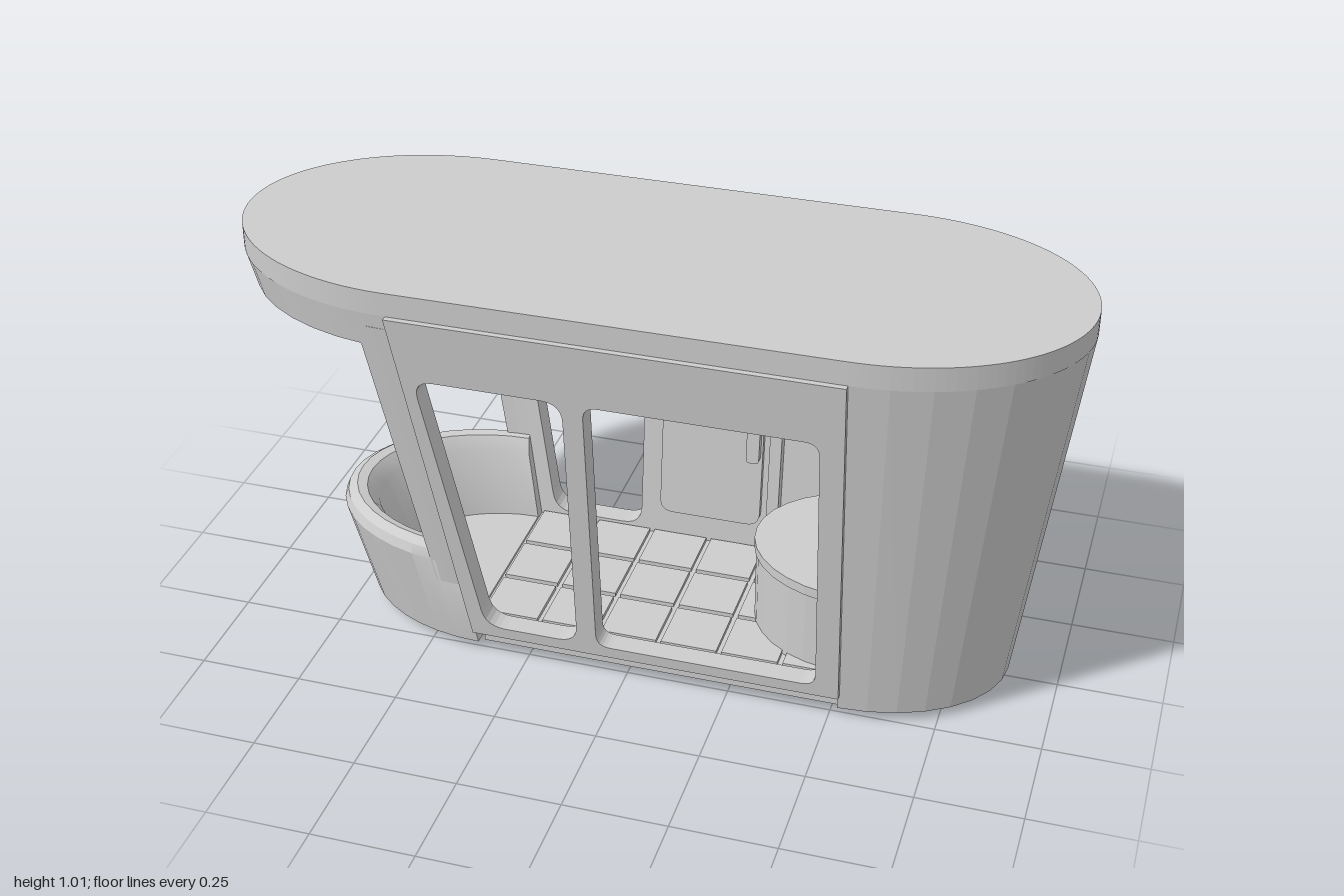
import * as THREE from 'three';
import { toCreasedNormals } from 'three/addons/utils/BufferGeometryUtils.js';

// The cabin widens upwards: t runs from 0 at the hull bottom to 1 under the roof
const BOTTOM = 0.025, TOP = 0.955;
const tOf = (y) => (y - BOTTOM) / (TOP - BOTTOM);
const endLength = (y) => 0.36 + 0.12 * tOf(y);
const halfWidth = (y) => 0.268 + 0.092 * tOf(y);
const openEndX = (y) => -0.375 - 0.145 * tOf(y);
const WALL = 0.055, PROUD = 0.015;

// Sweeps a closed profile of [scale, y] (counter-clockwise) round a half-elliptic cabin end
function endSweep(dir, profile, from = -90, to = 90, segments = 16, crease = 0) {
  const pos = [];
  const point = (i, j) => {
    const [s, y] = profile[j % profile.length];
    const th = THREE.MathUtils.degToRad(from + (to - from) * i / segments);
    const c = dir > 0 ? 0.52 : openEndX(y);
    return [c + dir * s * endLength(y) * Math.cos(th), y, dir * s * halfWidth(y) * Math.sin(th)];
  };
  const tri = (a, b, c) => pos.push(...a, ...b, ...c);
  for (let i = 0; i < segments; i++) {
    for (let j = 0; j < profile.length; j++) {
      tri(point(i, j), point(i, j + 1), point(i + 1, j + 1));
      tri(point(i, j), point(i + 1, j + 1), point(i + 1, j));
    }
  }
  for (let j = 1; j < profile.length - 1; j++) {
    tri(point(0, 0), point(0, j + 1), point(0, j));
    tri(point(segments, 0), point(segments, j), point(segments, j + 1));
  }
  const g = new THREE.BufferGeometry();
  g.setAttribute('position', new THREE.Float32BufferAttribute(pos, 3));
  g.computeVertexNormals();
  return crease ? toCreasedNormals(g, crease) : g;
}

// Polygon with rounded corners
function roundedShape(points, radius) {
  const shape = new THREE.Shape();
  const v = points.map((p) => new THREE.Vector2(...p));
  const n = v.length;
  v.forEach((p, i) => {
    const toward = (q) => p.clone().add(q.clone().sub(p).setLength(radius));
    const a = toward(v[(i + n - 1) % n]), b = toward(v[(i + 1) % n]);
    if (i === 0) shape.moveTo(a.x, a.y); else shape.lineTo(a.x, a.y);
    shape.quadraticCurveTo(p.x, p.y, b.x, b.y);
  });
  shape.closePath();
  return shape;
}

const rect = (x0, y0, x1, y1) => [[x0, y0], [x1, y0], [x1, y1], [x0, y1]];

// Plate leaning with the side of the cabin, inset from the outer wall surface
function leaningPlate(shape, side, depth, inset) {
  const g = new THREE.ExtrudeGeometry(shape, { depth, bevelEnabled: false, curveSegments: 6 });
  const p = g.attributes.position;
  for (let i = 0; i < p.count; i++) {
    const outer = halfWidth(p.getY(i)) + PROUD;
    const start = side > 0 ? outer - inset - depth : -outer + inset;
    p.setZ(i, p.getZ(i) + start);
  }
  g.computeVertexNormals();
  return g;
}

export function createModel() {
  const model = new THREE.Group();
  model.name = 'cabin';
  const grey = new THREE.MeshStandardMaterial({ color: 0xcccccc });
  grey.name = 'plainGrey';

  const add = (name, geometry, parent = model) => {
    const mesh = new THREE.Mesh(geometry, grey);
    mesh.name = name;
    parent.add(mesh);
    return mesh;
  };
  const box = (name, x0, x1, y0, y1, z0, z1, parent) => {
    const g = new THREE.BoxGeometry(x1 - x0, y1 - y0, z1 - z0);
    g.translate((x0 + x1) / 2, (y0 + y1) / 2, (z0 + z1) / 2);
    return add(name, g, parent);
  };
  const group = (name) => {
    const g = new THREE.Group();
    g.name = name;
    model.add(g);
    return g;
  };

  // Roof slab with elliptic ends
  const roof = new THREE.Shape();
  roof.moveTo(-0.52, -0.36);
  roof.lineTo(0.52, -0.36);
  roof.absellipse(0.52, 0, 0.48, 0.36, -Math.PI / 2, Math.PI / 2);
  roof.lineTo(-0.52, 0.36);
  roof.absellipse(-0.52, 0, 0.48, 0.36, Math.PI / 2, Math.PI * 1.5);
  const roofGeometry = new THREE.ExtrudeGeometry(roof, { depth: 0.058, bevelEnabled: false, curveSegments: 32 });
  roofGeometry.rotateX(-Math.PI / 2).translate(0, TOP, 0);
  add('roof', roofGeometry);

  // Closed end
  add('closedEnd', endSweep(1, [[0, BOTTOM], [1, BOTTOM], [1, TOP], [0, TOP]]));

  // Open end: low tub, roof rim and leaning posts
  add('tubWall', endSweep(-1, [[1, BOTTOM], [1, 0.262], [0.96, 0.285], [0.89, 0.3], [0.83, 0.295],
    [0.78, 0.26], [0.75, 0.08], [0.75, BOTTOM]], -90, 90, 20, 0.5));
  add('tubFloor', endSweep(-1, [[0, BOTTOM], [0.8, BOTTOM], [0.8, 0.085], [0, 0.085]]));
  add('roofRim', endSweep(-1, [[1, 0.87], [1, TOP], [0.84, TOP], [0.84, 0.91], [0.87, 0.88], [0.91, 0.87]],
    -90, 90, 20, 0.5));
  for (const side of [-1, 1]) {
    const [from, to] = side < 0 ? [-90, -80] : [80, 90];
    add('openEndPost', endSweep(-1, [[0.87, 0.2], [1, 0.2], [1, 0.92], [0.87, 0.92]], from, to, 2));
  }

  // Side walls with large window, doorway at the front and small window at the back
  const smallWindow = [[-0.04, 0.46], [0.14, 0.45], [0.14, 0.61], [-0.04, 0.61]];
  for (const side of [1, -1]) {
    const wall = new THREE.Shape([[openEndX(0.065), 0.065], [0.525, 0.065], [0.525, TOP], [openEndX(TOP), TOP]]
      .map((p) => new THREE.Vector2(...p)));
    wall.holes.push(roundedShape([[-0.345, 0.095], [-0.113, 0.095], [-0.113, 0.8], [-0.465, 0.8]], 0.05));
    wall.holes.push(side > 0 ? roundedShape(rect(-0.065, 0.095, 0.47, 0.8), 0.035) : roundedShape(smallWindow, 0.015));
    add(side > 0 ? 'frontWall' : 'backWall', leaningPlate(wall, side, WALL, 0));
  }

  // Inner panel, handle and upright on the back wall
  const panel = roundedShape(rect(-0.06, 0.155, 0.2, 0.79), 0.035);
  panel.holes.push(roundedShape(smallWindow, 0.015));
  add('innerPanel', leaningPlate(panel, -1, 0.015, WALL));
  add('panelHandle', leaningPlate(roundedShape(rect(0.162, 0.34, 0.195, 0.53), 0.01), -1, 0.02, WALL + 0.015));
  add('innerUpright', leaningPlate(new THREE.Shape(rect(0.22, 0.085, 0.25, 0.95).map((p) => new THREE.Vector2(...p))),
    -1, 0.03, WALL));

  // Base and tiled floor
  box('base', -0.375, 0.525, 0, 0.06, -0.225, 0.225);
  box('floor', -0.39, 0.525, 0.05, 0.08, -0.26, 0.26);
  const tiles = group('floorTiles');
  for (let i = 0; i < 6; i++) {
    for (let j = 0; j < 3; j++) {
      const x = -0.375 + i * 0.15, z = -0.23 + j * 0.155;
      box('floorTile', x, x + 0.137, 0.08, 0.09, z, z + 0.142, tiles);
    }
  }

  // Rounded bench against the closed end
  const bench = (name, y0, y1, a, b) => {
    const g = new THREE.CylinderGeometry(1, 1, y1 - y0, 32).toNonIndexed();
    g.scale(a, 1, b).translate(0.52, (y0 + y1) / 2, 0);
    g.computeVertexNormals();
    add(name, g);
  };
  bench('benchBody', 0.08, 0.285, 0.265, 0.215);
  bench('benchSeat', 0.285, 0.31, 0.27, 0.22);

  // Ceiling slats and beams
  const ceiling = group('ceilingSlats');
  for (let x = -0.84; x < 0.5; x += 0.06) {
    const u = Math.min(0, x + 0.52) / 0.4;
    const h = 0.31 * Math.sqrt(1 - u * u);
    box('ceilingSlat', x - 0.02, x + 0.02, 0.942, TOP, -h, h, ceiling);
  }
  for (const z of [-0.12, 0.12]) {
    box('ceilingBeam', -0.85, 0.52, 0.928, TOP, z - 0.012, z + 0.012, ceiling);
  }
  return model;
}
